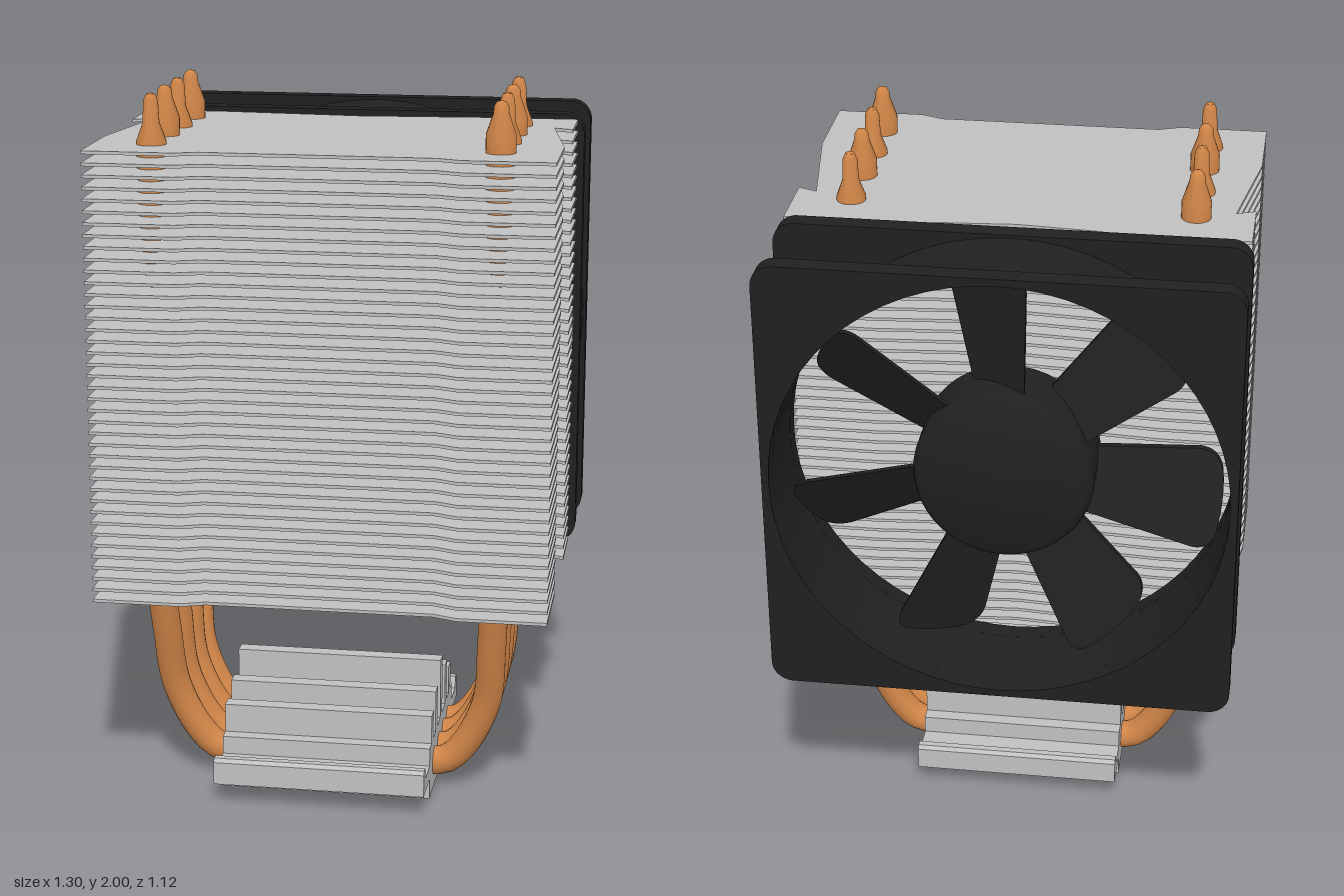
import * as THREE from 'three';
import { toCreasedNormals } from 'three/addons/utils/BufferGeometryUtils.js';

const aluminium = new THREE.MeshStandardMaterial({ color: 0xc0c0c0 });
aluminium.name = 'aluminium';
const copper = new THREE.MeshStandardMaterial({ color: 0xd08548 });
copper.name = 'copper';
const black = new THREE.MeshStandardMaterial({ color: 0x202020 });
black.name = 'black plastic';

const FAN_Y = 1.225;

function add(parent, name, geometry, material) {
  const mesh = new THREE.Mesh(geometry, material);
  mesh.name = name;
  parent.add(mesh);
  return mesh;
}

function polygon(points) {
  return new THREE.Shape(points.map(([x, y]) => new THREE.Vector2(x, y)));
}

function extrude(shape, depth, curveSegments = 12) {
  const g = new THREE.ExtrudeGeometry(shape, { depth, bevelEnabled: false, curveSegments });
  return toCreasedNormals(g, 0.5);
}

// Stack of thin cooling plates
function buildFins() {
  const group = new THREE.Group();
  group.name = 'finStack';
  const half = [[0, -0.19], [0.4, -0.22], [0.635, -0.22], [0.635, -0.02], [0.582, -0.04],
    [0.635, 0.3], [0.635, 0.56], [0.385, 0.56], [0.32, 0.535]];
  const outline = [...half, ...half.slice(1).reverse().map(([x, z]) => [-x, z])];
  const geo = extrude(polygon(outline.map(([x, z]) => [x, -z])), 0.009);
  geo.rotateX(-Math.PI / 2);
  const count = 40;
  for (let i = 0; i < count; i++) {
    add(group, 'fin', geo, aluminium).position.y = 0.59 + (i * 1.262) / (count - 1);
  }
  return group;
}

// Mounting block with side ledges and stepped ribs
function buildBase() {
  const group = new THREE.Group();
  group.name = 'base';
  group.position.z = 0.158;
  const half = [[0.262, 0], [0.262, 0.06], [0.392, 0.06], [0.392, 0.125], [0.382, 0.135],
    [0.362, 0.135], [0.35, 0.1], [0.262, 0.1], [0.262, 0.152]];
  const outline = [...half, ...half.slice().reverse().map(([u, y]) => [-u, y])];
  const block = extrude(polygon(outline), 0.6);
  block.translate(0, 0, -0.3).rotateY(Math.PI / 2);
  add(group, 'baseBlock', block, aluminium);
  for (const [z, top] of [[0, 0.33], [0.11, 0.275], [-0.11, 0.275], [0.2, 0.235], [-0.2, 0.235]]) {
    const rib = add(group, 'baseRib', new THREE.BoxGeometry(0.6, top - 0.14, 0.045), aluminium);
    rib.position.set(0, (top + 0.14) / 2, z);
  }
  return group;
}

// Bent heat pipes with crimped tips, alternating between two tip shapes
function buildPipes() {
  const group = new THREE.Group();
  group.name = 'heatPipes';
  const r = 0.041;
  // x, y and how far the pipe has moved from its base z to its top z
  const path = [[0.25, 0.075, 0], [0.33, 0.08, 0], [0.385, 0.13, 0.03], [0.45, 0.27, 0.2],
    [0.467, 0.45, 0.6], [0.475, 0.65, 1], [0.475, 0.8, 1], [0.475, 1.3, 1], [0.475, 1.86, 1]];
  const wideTip = [[r, 1.855], [r, 1.91], [0.022, 1.965], [0.02, 1.985], [0.012, 1.997], [0, 2]];
  const narrowTip = [[r, 1.855], [r, 1.87], [0.023, 1.92], [0.02, 1.98], [0.012, 1.997], [0, 2]];
  const [wide, narrow] = [wideTip, narrowTip].map((p) =>
    toCreasedNormals(new THREE.LatheGeometry(p.map(([x, y]) => new THREE.Vector2(x, y)), 20), 0.9));
  const topZ = [0.415, 0.25, 0.09, -0.08];
  const baseZ = [0.315, 0.208, 0.1, -0.003];
  for (const side of [1, -1]) {
    topZ.forEach((zt, i) => {
      const curve = new THREE.CatmullRomCurve3(path.map(([x, y, t]) =>
        new THREE.Vector3(side * x, y, baseZ[i] + (zt - baseZ[i]) * t)));
      add(group, 'heatPipe', new THREE.TubeGeometry(curve, 64, r, 20), copper);
      const isWide = (i % 2 === 0) === (side > 0);
      add(group, 'pipeTip', isWide ? wide : narrow, copper).position.set(side * 0.475, 0, zt);
    });
  }
  return group;
}

function roundedSquare(h, r) {
  const s = new THREE.Shape();
  s.moveTo(-h + r, -h);
  s.absarc(h - r, -h + r, r, -Math.PI / 2, 0);
  s.absarc(h - r, h - r, r, 0, Math.PI / 2);
  s.absarc(-h + r, h - r, r, Math.PI / 2, Math.PI);
  s.absarc(-h + r, -h + r, r, Math.PI, Math.PI * 1.5);
  return s;
}

function circleHole(r) {
  return new THREE.Path().absarc(0, 0, r, 0, Math.PI * 2, true);
}

// Fan with two square flanges, a round duct, a hub and seven pitched blades
function buildFan() {
  const group = new THREE.Group();
  group.name = 'fan';
  group.position.y = FAN_Y;

  const flange = roundedSquare(0.648, 0.06);
  flange.holes.push(circleHole(0.628));
  const flangeGeo = extrude(flange, 0.055, 32);
  add(group, 'frontFlange', flangeGeo, black).position.z = -0.29;
  add(group, 'backFlange', flangeGeo, black).position.z = -0.565;

  const ring = new THREE.Shape().absarc(0, 0, 0.64, 0, Math.PI * 2, false);
  ring.holes.push(circleHole(0.628));
  add(group, 'duct', extrude(ring, 0.22, 48), black).position.z = -0.51;

  const hubProfile = [[0, 0.27], [0.25, 0.27], [0.25, 0.44], [0.243, 0.46], [0.225, 0.472], [0, 0.475]];
  const hub = new THREE.LatheGeometry(hubProfile.map(([x, y]) => new THREE.Vector2(x, y)), 48);
  hub.rotateX(-Math.PI / 2);
  add(group, 'hub', toCreasedNormals(hub, 0.7), black);

  const s = new THREE.Shape();
  s.moveTo(-0.075, 0.22);
  s.lineTo(0.075, 0.22);
  s.lineTo(0.115, 0.52);
  s.quadraticCurveTo(0.115, 0.575, 0.07, 0.59);
  s.quadraticCurveTo(0, 0.61, -0.07, 0.6);
  s.quadraticCurveTo(-0.115, 0.59, -0.112, 0.54);
  s.closePath();
  const blade = new THREE.ExtrudeGeometry(s, { depth: 0.018, bevelEnabled: false, curveSegments: 6 });
  // Shear the flat blade to give it pitch
  const p = blade.attributes.position;
  for (let i = 0; i < p.count; i++) p.setZ(i, p.getZ(i) - 0.375 + p.getX(i) * 0.65);
  blade.computeVertexNormals();
  for (let i = 0; i < 7; i++) {
    add(group, 'blade', blade, black).rotation.z = -0.09 + (i * Math.PI * 2) / 7;
  }
  return group;
}

export function createModel() {
  const model = new THREE.Group();
  model.name = 'towerCooler';
  const heatsink = new THREE.Group();
  heatsink.name = 'heatsink';
  heatsink.position.x = -0.005;
  heatsink.add(buildFins(), buildBase(), buildPipes());
  model.add(heatsink, buildFan());
  return model;
}
